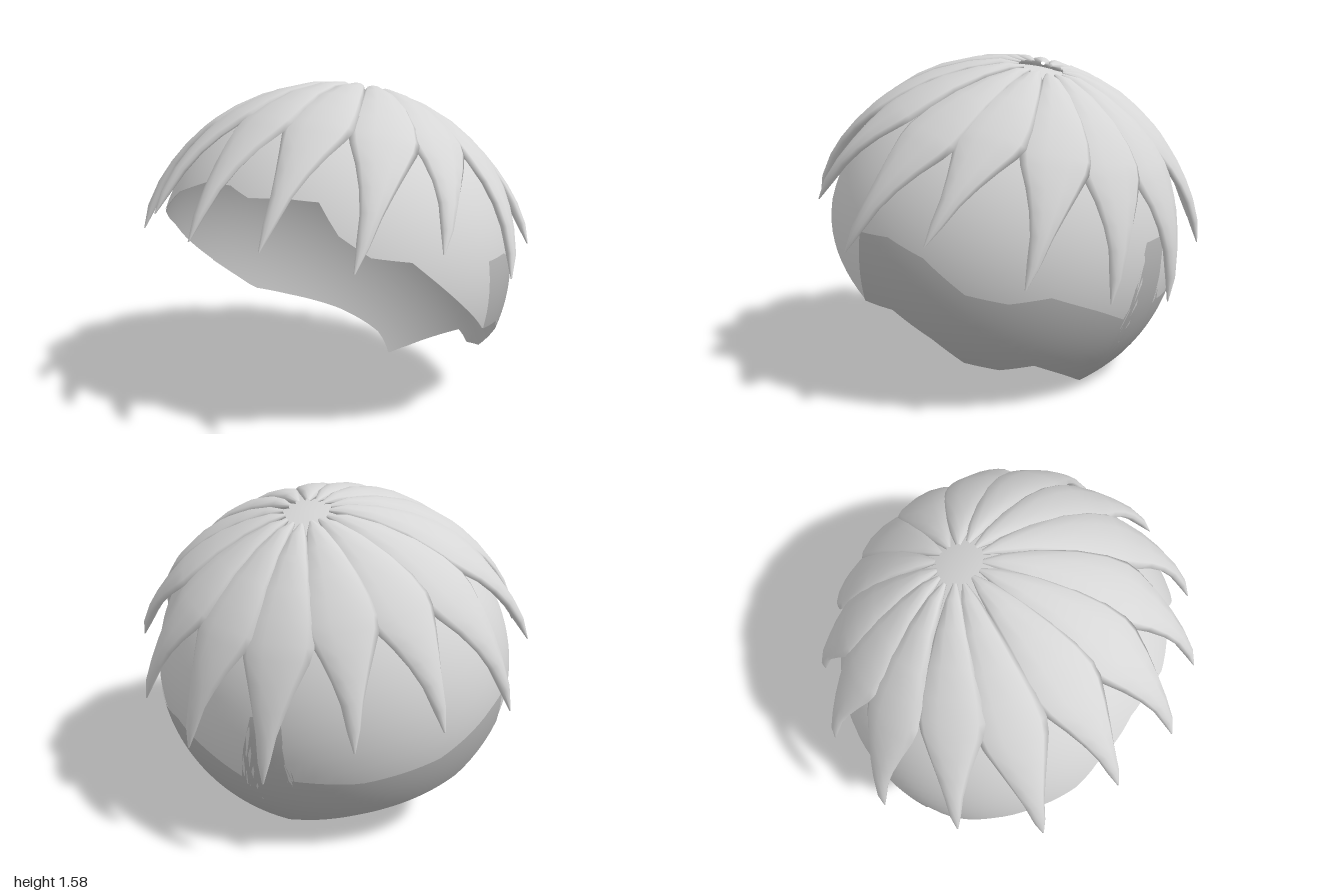
import * as THREE from 'three';

const CENTER = new THREE.Vector3(0, 0.68, 0.01);
const RADII = new THREE.Vector3(0.905, 0.85, 0.87);

// Azimuth in degrees (0 = front, 90 = left side) and height of the scalp rim
const RIM = [[-90, 0.52], [-67, 0.8], [-54, 0.9], [-39, 0.98], [-30, 1.07], [-12, 1.15], [0, 1.15],
  [9, 1.11], [21, 1.12], [33, 1.11], [39, 0.98], [48, 0.89], [60, 0.86], [77, 0.64], [90, 0.48],
  [102, 0.47], [114, 0.35], [123, 0.23], [135, 0.19], [147, 0.21], [171, 0.05], [180, 0],
  [192, 0.08], [215, 0.18], [238, 0.26], [253, 0.32], [270, 0.52]];

// Upper edge of the darker nape
const NAPE = [[90, 0.8], [102, 0.8], [114, 0.73], [126, 0.58], [138, 0.54], [150, 0.56], [165, 0.47],
  [177, 0.39], [183, 0.74], [192, 0.75], [195, 0.43], [215, 0.43], [240, 0.5], [262, 0.65], [270, 0.68]];

// Lock tips: x, y, z
const TIPS = [[-0.07, 0.92, 0.93], [0.3, 0.92, 0.88], [0.66, 0.85, 0.7], [0.88, 0.9, 0.37],
  [1, 0.73, -0.02], [0.88, 0.8, -0.42], [0.62, 0.63, -0.75], [0.26, 0.53, -0.91],
  [-0.14, 0.46, -0.92], [-0.53, 0.66, -0.81], [-0.83, 0.71, -0.55], [-1, 0.68, -0.16],
  [-0.95, 0.88, 0.24], [-0.77, 0.83, 0.6], [-0.43, 0.98, 0.81]];

// Position along a lock and its half width
const WIDTHS = [[0.08, 0.012], [0.14, 0.045], [0.24, 0.085], [0.36, 0.13], [0.46, 0.165], [0.54, 0.178],
  [0.59, 0.165], [0.67, 0.122], [0.75, 0.083], [0.83, 0.051], [0.92, 0.03], [1, 0.004]];

function lookUp(table, a) {
  for (let i = 1; i < table.length; i++) {
    const [a0, y0] = table[i - 1], [a1, y1] = table[i];
    if (a <= a1) return y0 + (y1 - y0) * (a - a0) / (a1 - a0);
  }
  return table[table.length - 1][1];
}

// Band of the head ellipsoid between two heights, given per azimuth
function headBand(topAt, bottomAt, from, to, columns, rows, scale) {
  const geo = new THREE.SphereGeometry(1, columns, rows);
  const { position, normal, uv } = geo.attributes;
  const polar = y => Math.acos(THREE.MathUtils.clamp((y - CENTER.y) / RADII.y, -1, 1));
  const v = new THREE.Vector3();
  for (let i = 0; i < position.count; i++) {
    // the pole vertices carry a half-step shift, so count columns instead
    const a = from + (to - from) * (i % (columns + 1)) / columns;
    const phi = THREE.MathUtils.lerp(polar(topAt(a)), polar(bottomAt(a)), 1 - uv.getY(i));
    v.setFromSphericalCoords(1, phi, THREE.MathUtils.degToRad(a));
    const n = v.clone().divide(RADII).normalize();
    normal.setXYZ(i, n.x, n.y, n.z);
    v.multiply(RADII).multiplyScalar(scale).add(CENTER);
    position.setXYZ(i, v.x, v.y, v.z);
  }
  // rebuild the faces, since the sphere leaves out one triangle at each pole
  const index = [], w = columns + 1;
  for (let r = 0; r < rows; r++) for (let c = 0; c < columns; c++) {
    const p = r * w + c;
    index.push(p, p + w, p + 1, p + 1, p + w, p + w + 1);
  }
  geo.setIndex(index);
  return geo;
}

// Leaf-shaped lock following the head from the crown out to a free tip
function lockGeometry(tip) {
  const crown = new THREE.Vector3(0, 0.81, -0.26).divide(RADII).normalize();
  const end = new THREE.Vector3(...tip).sub(CENTER).divide(RADII);
  const reach = end.length();
  end.normalize();
  const side = crown.clone().cross(end).normalize();
  const angle = crown.angleTo(end);
  const SIDES = 10, points = [], index = [];
  WIDTHS.forEach(([s, w], i) => {
    // the body bows sideways, so the locks swirl around the crown
    const dir = crown.clone().applyAxisAngle(side, angle * s)
      .addScaledVector(side, 0.06 * Math.sin(Math.PI * s)).normalize();
    const radius = 1.026 + (reach - 1.026) * s ** 3;
    const thick = Math.min(0.03, w * 0.8);
    const tilt = w * 0.05;
    for (let j = 0; j < SIDES; j++) {
      const a = j / SIDES * Math.PI * 2;
      const p = dir.clone().addScaledVector(side, w * Math.cos(a)).normalize()
        .multiplyScalar(radius + thick * Math.sin(a) + tilt * Math.cos(a))
        .multiply(RADII).add(CENTER);
      points.push(p);
      if (i < WIDTHS.length - 1) {
        const A = i * SIDES + j, B = i * SIDES + (j + 1) % SIDES;
        index.push(A, B, A + SIDES, B, B + SIDES, A + SIDES);
      }
    }
  });
  const geo = new THREE.BufferGeometry().setFromPoints(points);
  geo.setIndex(index);
  geo.computeVertexNormals();
  return geo;
}

export function createModel() {
  const hair = new THREE.MeshStandardMaterial({ color: 0xd6d6d6 });
  hair.name = 'light grey';
  const shade = new THREE.MeshStandardMaterial({ color: 0xb4b4b4, side: THREE.DoubleSide });
  shade.name = 'mid grey';

  const model = new THREE.Group();
  model.name = 'hairpiece';
  const add = (name, geo, mat, parent = model) => {
    const mesh = new THREE.Mesh(geo, mat);
    mesh.name = name;
    parent.add(mesh);
  };

  // Open cap over the head, with a darker lining just inside it
  const rim = a => lookUp(RIM, a);
  const crownTop = () => CENTER.y + RADII.y;
  add('cap', headBand(crownTop, rim, -90, 270, 120, 20, 1), hair);
  add('lining', headBand(crownTop, rim, -90, 270, 120, 20, 0.997), shade);

  // Darker nape laid thinly over the lower back
  add('nape', headBand(a => lookUp(NAPE, a), rim, 90, 270, 60, 8, 1.005), shade);

  // Ring of locks radiating from the crown
  const locks = new THREE.Group();
  locks.name = 'locks';
  model.add(locks);
  TIPS.forEach((tip, i) => add(`lock${i + 1}`, lockGeometry(tip), hair, locks));

  return model;
}
